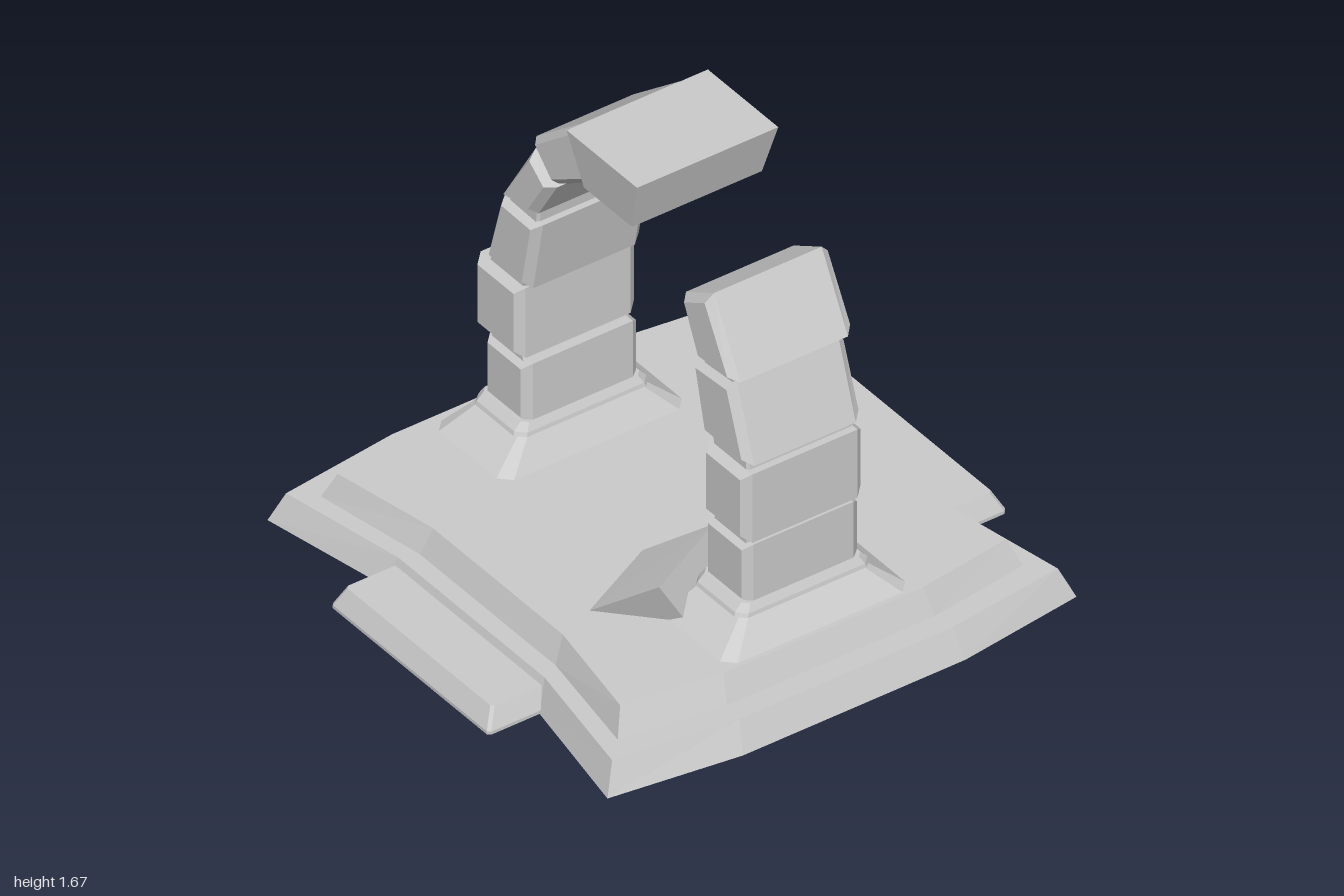
import * as THREE from 'three';
import { ConvexGeometry } from 'three/addons/geometries/ConvexGeometry.js';

const stone = new THREE.MeshStandardMaterial({ color: 0xcccccc, flatShading: true, side: THREE.DoubleSide });
const CX = 0.012;

function add(parent, name, geometry) {
  const mesh = new THREE.Mesh(geometry, stone);
  mesh.name = name;
  parent.add(mesh);
  return mesh;
}

// Closed horizontal ring mirrored from one quarter, given as [x, z] from front to side
function ring(quarter, y, cx = CX, cz = 0) {
  const back = [...quarter].reverse();
  return [
    ...quarter.map(([x, z]) => [x, z]),
    ...back.map(([x, z]) => [x, -z]),
    ...quarter.map(([x, z]) => [-x, -z]),
    ...back.map(([x, z]) => [-x, z]),
  ].map(([x, z]) => new THREE.Vector3(cx + x, y, cz + z));
}

// Rectangle quarter with a cut corner
const cut = (hx, hz, c) => [[hx - c, hz], [hx, hz - c]];

// Skin a stack of rings and close the top
function loft(rings) {
  const points = [];
  for (let r = 0; r < rings.length - 1; r++) {
    const a = rings[r], b = rings[r + 1];
    a.forEach((p, i) => {
      const j = (i + 1) % a.length;
      points.push(p, a[j], b[j], p, b[j], b[i]);
    });
  }
  const top = rings[rings.length - 1];
  const centre = top.reduce((s, p) => s.add(p), new THREE.Vector3()).divideScalar(top.length);
  top.forEach((p, i) => points.push(p, top[(i + 1) % top.length], centre));
  const geometry = new THREE.BufferGeometry().setFromPoints(points);
  geometry.computeVertexNormals();
  return geometry;
}

// Stone cut from a side outline of [z, y] corners, with chamfered ends
function block(corners, x0, x1, bevel) {
  const shape = new THREE.Shape(corners.map(([z, y]) => new THREE.Vector2(z, y)));
  const width = x1 - x0;
  const geometry = new THREE.ExtrudeGeometry(shape, {
    depth: width - 2 * bevel, bevelEnabled: bevel > 0, bevelSegments: 1,
    bevelSize: bevel * 0.8, bevelThickness: bevel, bevelOffset: -bevel * 0.8,
  });
  geometry.translate(0, 0, bevel - width / 2);
  geometry.rotateY(-Math.PI / 2);
  geometry.translate((x0 + x1) / 2, 0, 0);
  return geometry;
}

const mix = (a, b, t) => [a[0] + (b[0] - a[0]) * t, a[1] + (b[1] - a[1]) * t];

// Narrow joint bridging the facing edges of two stones
function joint(lower, upper) {
  const [lob, lib, lit, lot] = lower, [uob, uib, uit, uot] = upper;
  const o1 = mix(lot, lob, 0.1), i1 = mix(lit, lib, 0.1);
  const o2 = mix(uob, uot, 0.1), i2 = mix(uib, uit, 0.1);
  return [mix(o1, i1, 0.1), mix(i1, o1, 0.1), mix(i2, o2, 0.1), mix(o2, i2, 0.1)];
}

// Stones of each pillar: outer bottom, inner bottom, inner top, outer top
const frontStones = [
  [[0.70, 0.32], [0.475, 0.32], [0.475, 0.555], [0.70, 0.555]],
  [[0.707, 0.57], [0.478, 0.57], [0.478, 0.835], [0.707, 0.835]],
  [[0.71, 0.868], [0.468, 0.865], [0.41, 1.12], [0.62, 1.137]],
  [[0.65, 1.16], [0.45, 1.142], [0.36, 1.34], [0.51, 1.425]],
];
const backStones = [
  [[-0.70, 0.32], [-0.475, 0.32], [-0.475, 0.555], [-0.70, 0.555]],
  [[-0.74, 0.567], [-0.50, 0.567], [-0.50, 0.838], [-0.74, 0.838]],
  [[-0.69, 0.862], [-0.467, 0.855], [-0.415, 1.13], [-0.615, 1.137]],
  [[-0.60, 1.158], [-0.425, 1.175], [-0.326, 1.335], [-0.44, 1.42]],
  [[-0.457, 1.45], [-0.34, 1.335], [-0.13, 1.465], [-0.21, 1.648]],
];
const keystone = [[-0.185, 1.67], [-0.123, 1.475], [0.133, 1.475], [0.19, 1.67]];
const spans = [[-0.21, 0.235], [-0.22, 0.245], [-0.215, 0.237], [-0.225, 0.25], [-0.21, 0.225]];

function createPillar(name, stones, side) {
  const pillar = new THREE.Group();
  pillar.name = name;
  // Sloping foot and moulding
  add(pillar, 'plinth', loft([
    ring(cut(0.36, 0.195, 0.04), 0.17, CX, side * 0.595),
    ring(cut(0.36, 0.195, 0.04), 0.2, CX, side * 0.595),
    ring(cut(0.24, 0.125, 0.02), 0.3, CX, side * 0.588),
  ]));
  add(pillar, 'moulding', loft([
    ring(cut(0.26, 0.133, 0.03), 0.298, CX, side * 0.588),
    ring(cut(0.255, 0.13, 0.03), 0.312, CX, side * 0.588),
    ring(cut(0.23, 0.117, 0.02), 0.338, CX, side * 0.588),
  ]));
  stones.forEach((corners, i) => {
    add(pillar, 'stone' + (i + 1), block(corners, ...spans[i], 0.03));
    if (i) add(pillar, 'joint' + i, block(joint(stones[i - 1], corners), -0.19, 0.215, 0.01));
  });
  return pillar;
}

export function createModel() {
  const model = new THREE.Group();
  model.name = 'brokenArch';

  // Two-tier platform, open underneath
  add(model, 'platform', loft([
    ring([[0.43, 0.97], [0.905, 0.905], [0.815, 0.42]], 0),
    ring([[0.41, 0.925], [0.86, 0.868], [0.775, 0.39]], 0.107),
    ring([[0.40, 0.845], [0.782, 0.79], [0.71, 0.36]], 0.107),
    ring([[0.385, 0.805], [0.745, 0.752], [0.672, 0.345]], 0.202),
  ]));

  // Low side steps
  for (const side of [-1, 1]) {
    add(model, side > 0 ? 'leftStep' : 'rightStep', loft([
      ring(cut(0.13, 0.42, 0.01), 0, side * 0.87),
      ring(cut(0.13, 0.42, 0.01), 0.012, side * 0.87),
      ring(cut(0.105, 0.39, 0.01), 0.08, side * 0.86),
    ]));
  }

  model.add(createPillar('frontPillar', frontStones, 1));
  model.add(createPillar('backPillar', backStones, -1));

  // Keystone, narrower towards its underside
  const key = block(keystone, -0.2725, 0.2725, 0);
  const pos = key.attributes.position;
  for (let i = 0; i < pos.count; i++) {
    const t = (pos.getY(i) - 1.475) / 0.195;
    pos.setX(i, pos.getX(i) * (0.92 + 0.08 * t) + CX);
  }
  key.computeVertexNormals();
  add(model, 'keystone', key);
  const last = backStones[backStones.length - 1];
  add(model, 'keystoneJoint', block(joint(last, keystone), -0.19, 0.215, 0.01));

  // Fallen stone half sunk in the floor
  add(model, 'fallenStone', new ConvexGeometry([
    [-0.40, 0.365, 0.50], [-0.07, 0.365, 0.33],
    [-0.52, 0.20, 0.29], [-0.20, 0.20, 0.13],
    [-0.42, 0.10, 0.31], [-0.10, 0.10, 0.15],
    [-0.25, 0.10, 0.53], [0.0, 0.10, 0.38],
  ].map((p) => new THREE.Vector3(...p))));

  return model;
}
